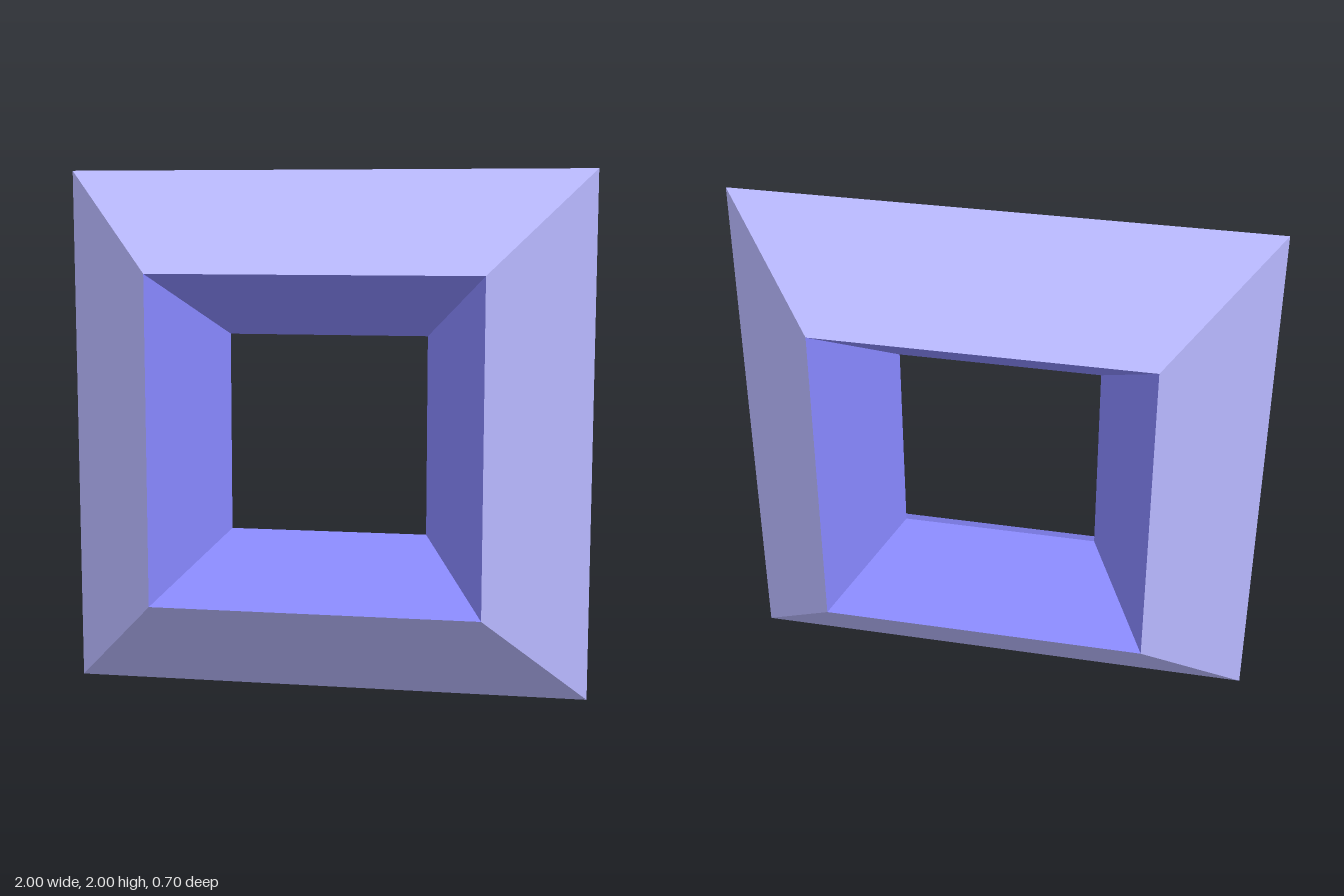
import * as THREE from 'three';

const CREST = [0.62, 0.35]; // half-width and depth of the raised edges

// Sweeps a profile of [half-width, depth] points around a square.
function squareRing(name, profile, color) {
  const points = profile.map(([w, z]) => new THREE.Vector2(w * Math.SQRT2, z));
  const geometry = new THREE.LatheGeometry(points, 4, Math.PI / 4)
    .rotateX(Math.PI / 2)
    .toNonIndexed();
  geometry.computeVertexNormals();
  const mesh = new THREE.Mesh(geometry, new THREE.MeshStandardMaterial({ color, flatShading: true }));
  mesh.name = name;
  mesh.position.y = 1;
  return mesh;
}

export function createModel() {
  const group = new THREE.Group();
  group.name = 'squareFrame';
  const [w, d] = CREST;

  // Pale bevels sloping out to the sharp outer rim
  group.add(squareRing('outerBevel', [[w, -d], [1, 0], [w, d]], 0xb8b8ff));

  // Deeper blue bevels sloping in to the square opening
  group.add(squareRing('innerBevel', [[w, d], [0.38, 0], [w, -d]], 0x8888ff));

  return group;
}
